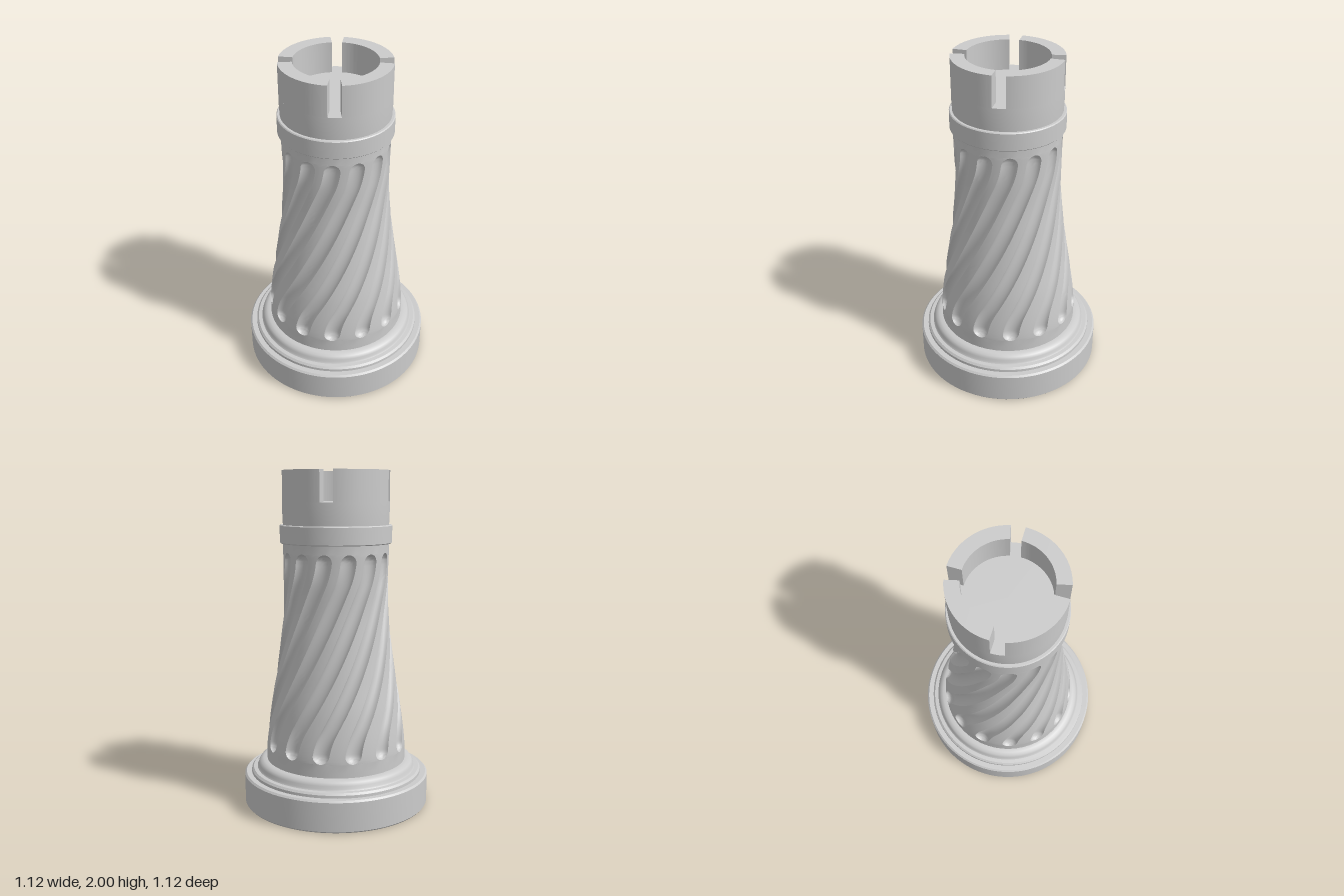
import * as THREE from 'three';
import { toCreasedNormals } from 'three/addons/utils/BufferGeometryUtils.js';

const DEG = Math.PI / 180;
const material = new THREE.MeshStandardMaterial({ color: 0xcccccc, roughness: 0.8 });

function addPart(group, name, geometry) {
  const mesh = new THREE.Mesh(toCreasedNormals(geometry, 35 * DEG), material);
  mesh.name = name;
  group.add(mesh);
}

function lathe(points) {
  return new THREE.LatheGeometry(points.map(([r, y]) => new THREE.Vector2(r, y)), 96);
}

// Rises from 0 to 1: straight in the middle, curving to a standstill at both ends
function easeEnds(t, e = 0.16) {
  if (t > 0.5) return 1 - easeEnds(1 - t, e);
  return (t < e ? (t * t) / (2 * e) : t - e / 2) / (1 - e);
}

// Column tapering upward, with fourteen round-ended spiral grooves
function flutedColumn() {
  const count = 14, inner = 10, outer = 4, perFlute = inner + outer, columns = count * perFlute;
  const low = 0.35, high = 1.53, depth = 0.036, period = (2 * Math.PI) / count, twist = 3 * period;

  const profile = new THREE.CatmullRomCurve3([
    [0.424, 0.25], [0.421, 0.38], [0.393, 0.6], [0.36, 0.8], [0.332, 1], [0.313, 1.2], [0.311, 1.4], [0.314, 1.6],
  ].map(([r, y]) => new THREE.Vector3(r, y, 0)));
  const samples = profile.getPoints(200);
  const radiusAt = (y) => {
    const k = Math.max(1, samples.findIndex((p) => p.y >= y));
    const a = samples[k - 1], b = samples[k];
    return THREE.MathUtils.mapLinear(y, a.y, b.y, a.x, b.x);
  };

  // Rows crowd together at the rounded groove ends
  const rows = [0.25, 0.3];
  const endRows = 10, midRows = 60, cap = 0.05;
  for (let i = 0; i <= endRows; i++) rows.push(low + cap * (1 - Math.cos((i / endRows) * Math.PI / 2)));
  for (let i = 1; i < midRows; i++) rows.push(THREE.MathUtils.lerp(low + cap, high - cap, i / midRows));
  for (let i = 0; i <= endRows; i++) rows.push(high - cap * (1 - Math.sin((i / endRows) * Math.PI / 2)));
  rows.push(1.59);

  const positions = [], index = [];
  rows.forEach((y, row) => {
    const t = THREE.MathUtils.clamp((y - low) / (high - low), 0, 1);
    const turn = twist * easeEnds(t);
    const r = radiusAt(y);
    const nearEnd = THREE.MathUtils.clamp(Math.min(y - low, high - y) / cap, 0, 1);
    const round = Math.sqrt(1 - (1 - nearEnd) ** 2);
    const half = Math.max(0.002, (round * THREE.MathUtils.lerp(0.049, 0.046, t)) / r);
    for (let c = 0; c < columns; c++) {
      const k = c % perFlute;
      let offset, cut = 0;
      if (k <= inner) {
        const s = -Math.cos((k / inner) * Math.PI);
        offset = half * s;
        cut = depth * round * Math.sqrt(Math.max(0, 1 - s * s));
      } else {
        offset = THREE.MathUtils.lerp(half, period - half, (k - inner) / outer);
      }
      const a = Math.floor(c / perFlute) * period + offset + turn - 1.5 * DEG;
      positions.push(Math.sin(a) * (r - cut), y, Math.cos(a) * (r - cut));
      if (row > 0) {
        const n = (c + 1) % columns, p = (row - 1) * columns, q = row * columns;
        index.push(p + c, p + n, q + n, p + c, q + n, q + c);
      }
    }
  });
  const geometry = new THREE.BufferGeometry();
  geometry.setAttribute('position', new THREE.Float32BufferAttribute(positions, 3));
  geometry.setIndex(index);
  return geometry;
}

// One quarter of the parapet, between two notches
function merlon(start, end) {
  const shape = new THREE.Shape();
  shape.absarc(0, 0, 0.315, start, end, false);
  shape.absarc(0, 0, 0.236, end, start, true);
  const geometry = new THREE.ExtrudeGeometry(shape, { depth: 0.18, bevelEnabled: false, curveSegments: 24 });
  return geometry.rotateX(-Math.PI / 2).translate(0, 1.82, 0);
}

export function createModel() {
  const model = new THREE.Group();
  model.name = 'castleTower';

  // Plinth and stepped mouldings
  addPart(model, 'base', lathe([
    [0, 0], [0.555, 0], [0.562, 0.008], [0.562, 0.18], [0.552, 0.19], [0.52, 0.19],
    [0.519, 0.206], [0.508, 0.217], [0.485, 0.219], [0.478, 0.228], [0.476, 0.244],
    [0.465, 0.26], [0.447, 0.269], [0.423, 0.272], [0.4, 0.272],
  ]));

  addPart(model, 'flutedColumn', flutedColumn());

  // Band under the crown
  addPart(model, 'collar', lathe([
    [0.3, 1.58], [0.326, 1.58], [0.331, 1.585], [0.331, 1.683], [0.326, 1.688], [0.305, 1.688],
  ]));

  // Solid drum whose top is the floor inside the parapet
  addPart(model, 'crownDrum', lathe([[0.312, 1.68], [0.315, 1.75], [0.315, 1.82], [0, 1.82]]));

  const crown = new THREE.Group();
  crown.name = 'crown';
  for (let i = 0; i < 4; i++) {
    const notch = (26.5 + 90 * i) * DEG, gap = 6.9 * DEG;
    addPart(crown, 'merlon' + (i + 1), merlon(notch + gap, notch + Math.PI / 2 - gap));
  }
  model.add(crown);
  return model;
}
